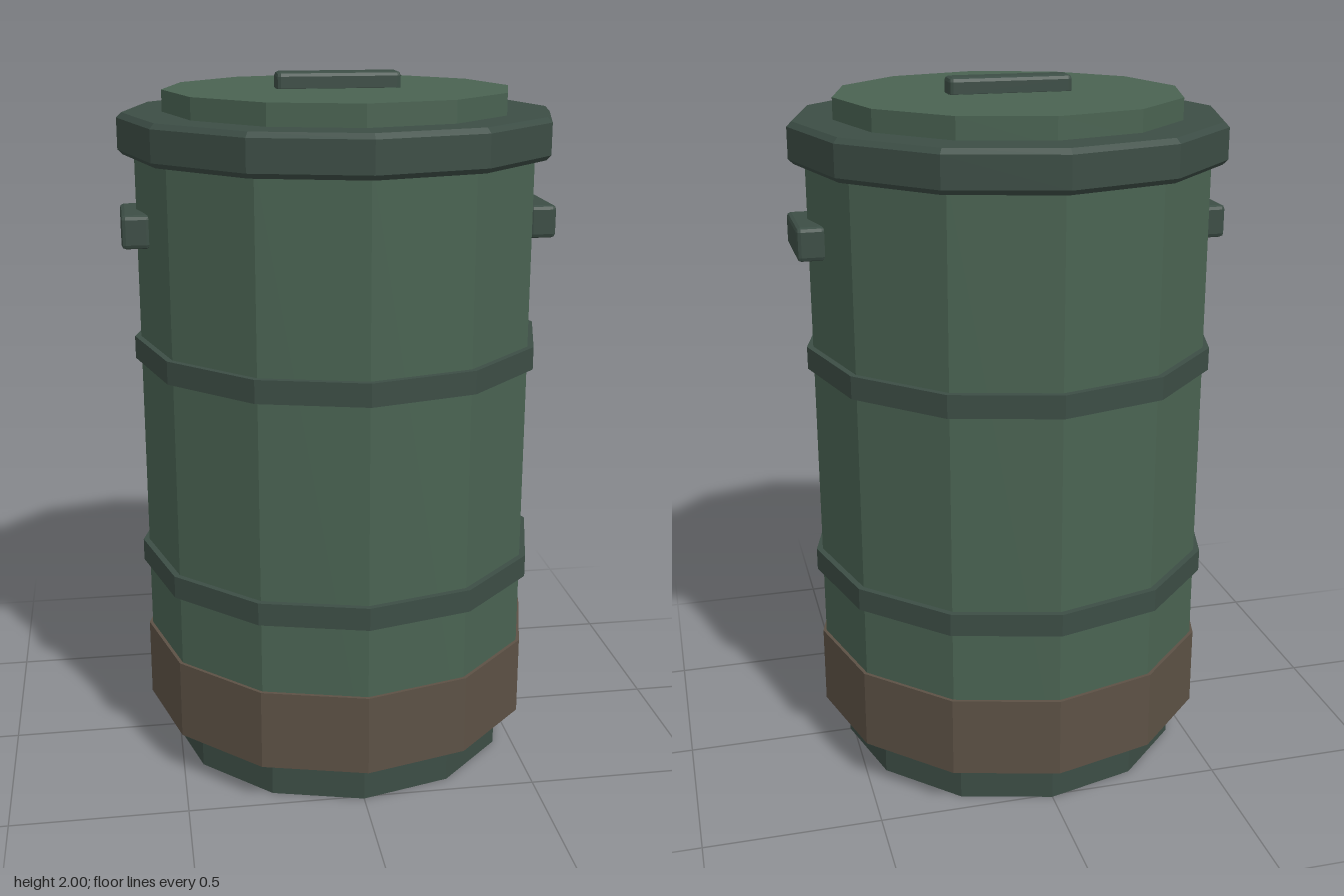
import * as THREE from 'three';
import { RoundedBoxGeometry } from 'three/addons/geometries/RoundedBoxGeometry.js';

const SIDES = 12;
const paint = (color) => new THREE.MeshStandardMaterial({ color, flatShading: true });

export function createModel() {
  const model = new THREE.Group();
  model.name = 'lidded barrel';
  const green = paint(0x4a6352);
  const trim = paint(0x3c4d45);
  const rust = paint(0x5c5145);

  function add(name, geometry, material) {
    const mesh = new THREE.Mesh(geometry, material);
    mesh.name = name;
    model.add(mesh);
    return mesh;
  }

  // Closed twelve-sided drum between two heights, with an optional chamfer
  function drum(name, radius, y0, y1, material, chamfer = 0) {
    const profile = [[0, y0], [radius - chamfer, y0], [radius, y0 + chamfer],
      [radius, y1 - chamfer], [radius - chamfer, y1], [0, y1]]
      .map(([x, y]) => new THREE.Vector2(x, y))
      .filter((p, i, all) => i === 0 || !p.equals(all[i - 1]));
    return add(name, new THREE.LatheGeometry(profile, SIDES), material);
  }

  // Chamfered grip bar
  function bar(name, w, h, d, x, y) {
    add(name, new RoundedBoxGeometry(w, h, d, 1, 0.012), trim).position.set(x, y, 0);
  }

  // Barrel
  drum('base', 0.512, 0, 0.14, trim);
  drum('body', 0.572, 0.12, 1.82, green);
  drum('rustBand', 0.582, 0.124, 0.356, rust);
  drum('lowerHoop', 0.59, 0.565, 0.63, trim);
  drum('upperHoop', 0.59, 1.195, 1.26, trim);

  // Lid
  drum('lidRim', 0.617, 1.78, 1.895, trim, 0.014);
  drum('lidTop', 0.491, 1.88, 1.955, green);
  bar('lidHandle', 0.35, 0.056, 0.076, 0, 1.972);

  // Side grips
  for (const side of [-1, 1]) {
    bar(side > 0 ? 'leftHandle' : 'rightHandle', 0.08, 0.094, 0.234, side * 0.577, 1.58);
  }
  return model;
}
